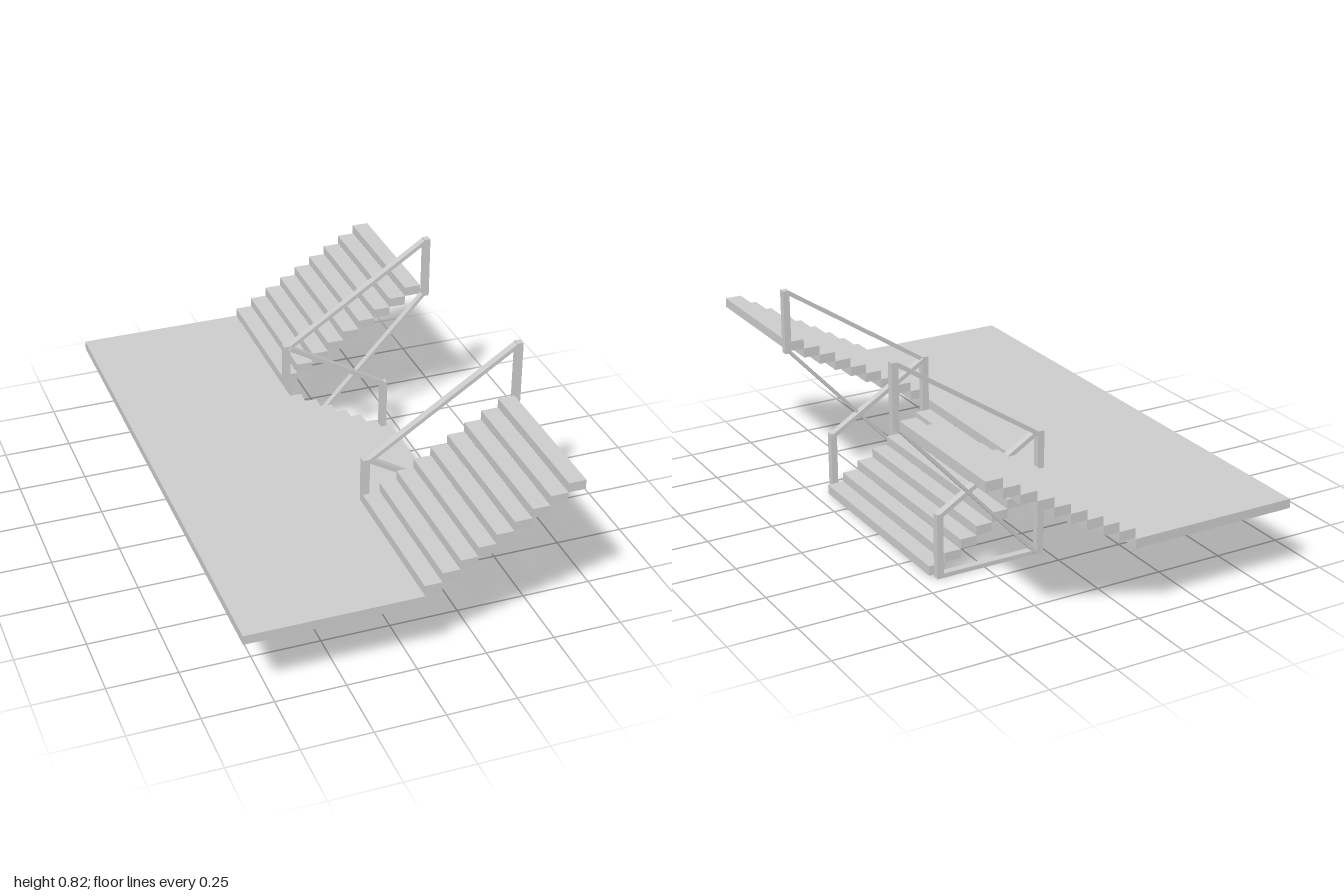
import * as THREE from 'three';

const material = new THREE.MeshStandardMaterial({ color: 0xcccccc, flatShading: true });

// Box given by its limits on each axis
function block(name, x0, x1, y0, y1, z0, z1) {
  const mesh = new THREE.Mesh(new THREE.BoxGeometry(x1 - x0, y1 - y0, z1 - z0), material);
  mesh.position.set((x0 + x1) / 2, (y0 + y1) / 2, (z0 + z1) / 2);
  mesh.name = name;
  return mesh;
}

// Sloping bar between two points of the xy plane
function bar(name, [xa, ya], [xb, yb], thickness, z0, z1) {
  const length = Math.hypot(xb - xa, yb - ya);
  const mesh = new THREE.Mesh(new THREE.BoxGeometry(length, thickness, z1 - z0), material);
  mesh.position.set((xa + xb) / 2, (ya + yb) / 2, (z0 + z1) / 2);
  mesh.rotation.z = Math.atan2(yb - ya, xb - xa);
  mesh.name = name;
  return mesh;
}

// Flight of equal treads, rising or falling away from the landing
function flight(name, count, y0, rise, z0, z1) {
  const group = new THREE.Group();
  group.name = name;
  for (let i = 0; i < count; i++) {
    const x = 0.02 + i * 0.062, y = y0 + i * rise;
    group.add(block('tread', x, x + 0.062, y, y + 0.035, z0, z1));
  }
  return group;
}

// Railing frame; side is +1 or -1 along z
function railing(name, side) {
  const group = new THREE.Group();
  group.name = name;
  const span = (a, b) => (side > 0 ? [a, b] : [-b, -a]);
  const outer = span(0.402, 0.429), inner = span(0.393, 0.42);
  group.add(
    block('mainPost', 0.02, 0.045, 0, 0.468, ...outer),
    block('upperPost', 0.578, 0.602, 0.585, 0.822, ...outer),
    bar('upperHandrail', [0.04, 0.457], [0.583, 0.814], 0.014, ...outer),
    bar('diagonalStrut', [0.042, 0.004], [0.582, 0.588], 0.012, ...span(0.405, 0.429)),
    block('lowerPost', 0.412, 0.436, 0, 0.24, ...inner),
    bar('lowerHandrail', [0.042, 0.46], [0.425, 0.231], 0.016, ...inner),
    block('bottomRail', 0.04, 0.415, 0, 0.016, ...inner)
  );
  return group;
}

export function createModel() {
  const model = new THREE.Group();
  model.name = 'staircase';

  // Landing and the lower flight
  model.add(block('landing', -0.603, 0.02, 0.26, 0.294, -1, 1));
  model.add(flight('lowerFlight', 7, 0.223, -0.036, -0.393, 0.393));

  // Upper flights and railings on both sides
  model.add(flight('leftUpperFlight', 9, 0.295, 0.036, -0.993, -0.43));
  model.add(flight('rightUpperFlight', 9, 0.295, 0.036, 0.43, 0.993));
  model.add(railing('backRailing', -1), railing('frontRailing', 1));
  return model;
}
